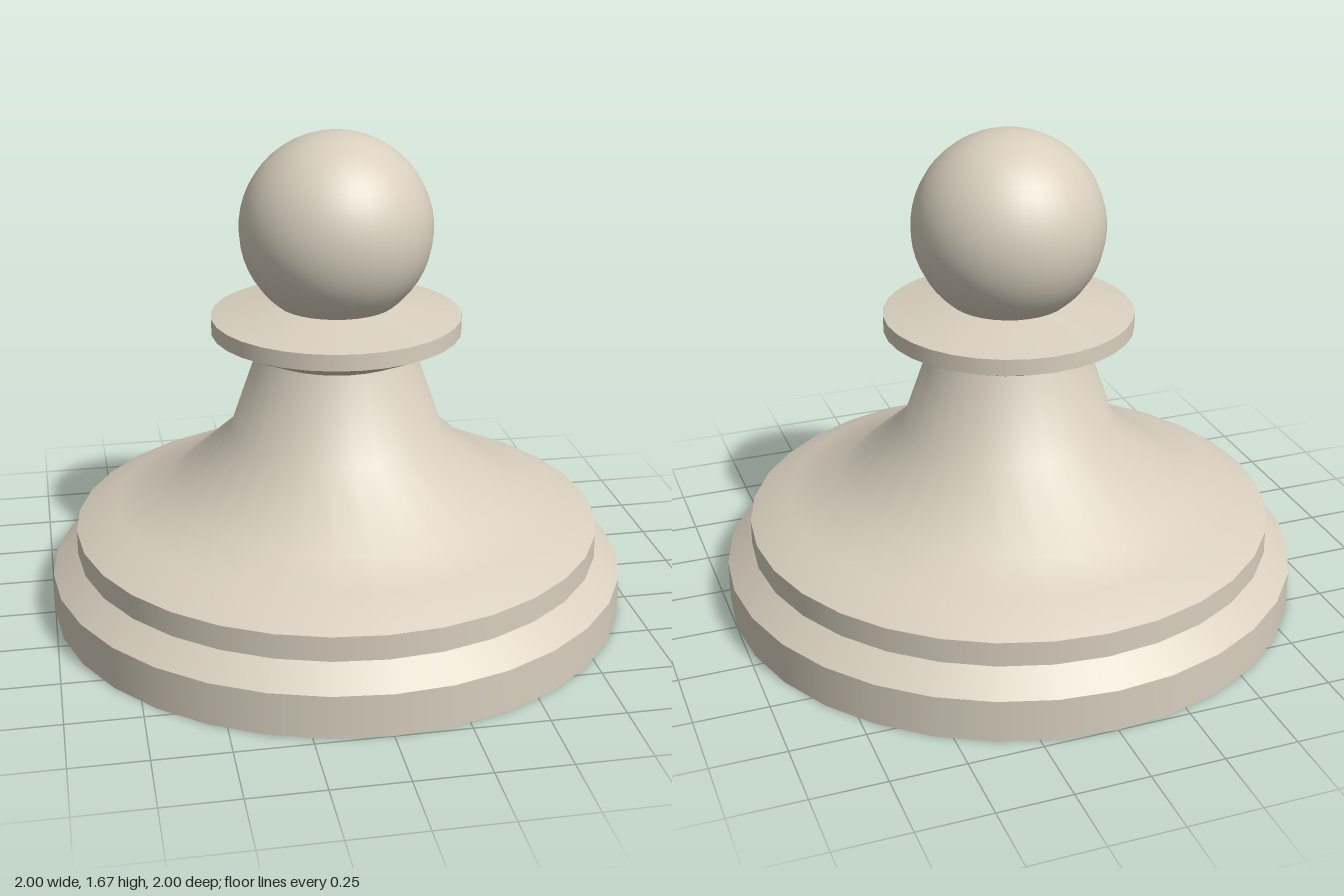
import * as THREE from 'three';

const SIDES = 32;

export function createModel() {
  const model = new THREE.Group();
  model.name = 'pawn';
  const ivory = new THREE.MeshStandardMaterial({ color: 0xd8cfbe });
  ivory.name = 'ivory';

  // Turns a [radius, height] profile, listed bottom to top, into a smooth ring
  const turn = (profile, parent, name) => {
    const points = profile.map(([r, y]) => new THREE.Vector2(r, y));
    const mesh = new THREE.Mesh(new THREE.LatheGeometry(points, SIDES), ivory);
    mesh.name = name;
    parent.add(mesh);
  };

  // Turns every profile segment on its own, so the edges between stay sharp
  const turnSharp = (profile, name) => {
    const group = new THREE.Group();
    group.name = name;
    for (let i = 1; i < profile.length; i++) {
      turn([profile[i - 1], profile[i]], group, `${name}Face${i}`);
    }
    model.add(group);
  };

  // Stepped base with closed underside
  turnSharp([[0, 0], [1, 0], [1, 0.147], [0.912, 0.218], [0.912, 0.303]], 'base');

  // Flared body, smooth from shoulder to neck
  turn([[0.912, 0.303], [0.77, 0.372], [0.6, 0.428], [0.37, 0.63], [0.27, 0.918]], model, 'body');

  // Collar disc with bevelled faces
  turnSharp([[0.27, 0.918], [0.427, 0.99], [0.427, 1.046], [0.2, 1.088]], 'collar');

  // Ball head, cut off where it meets the collar
  const radius = 0.327;
  const centre = 1.345;
  const start = -Math.acos(0.2 / radius);
  const arc = [];
  for (let i = 0; i <= 20; i++) {
    const a = start + (Math.PI / 2 - start) * (i / 20);
    arc.push([Math.max(0, radius * Math.cos(a)), centre + radius * Math.sin(a)]);
  }
  turn(arc, model, 'head');

  return model;
}
